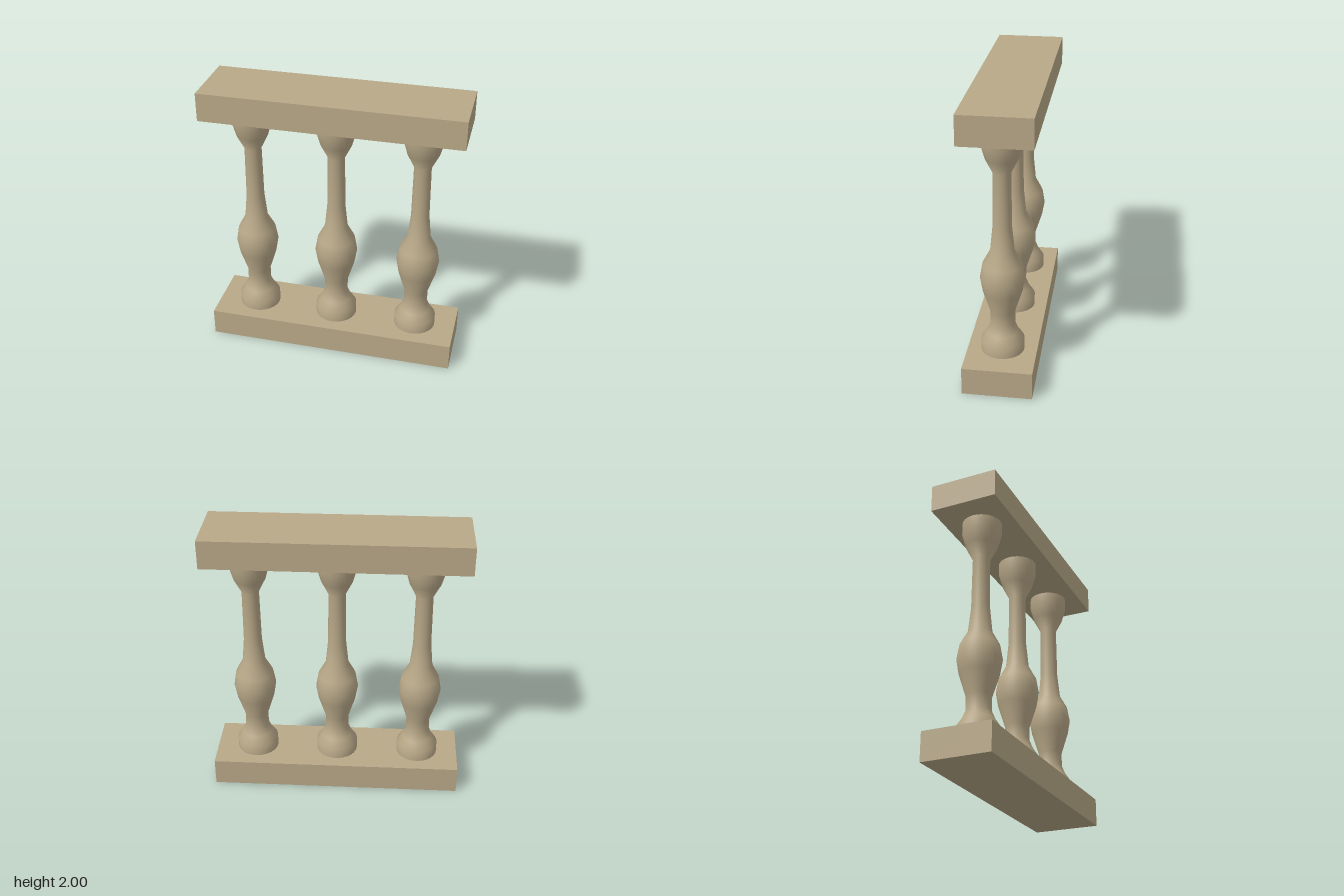
import * as THREE from 'three';

export function createModel() {
  const group = new THREE.Group();
  const stone = new THREE.MeshStandardMaterial({ color: 0xb8a888 });

  // Bottom plinth and top handrail
  const slab = new THREE.BoxGeometry(1.8, 0.2, 0.48);
  for (const [name, y] of [['plinth', 0.1], ['handrail', 1.9]]) {
    const mesh = new THREE.Mesh(slab, stone);
    mesh.name = name;
    mesh.position.y = y;
    group.add(mesh);
  }

  // Turned baluster profile: radius, height
  const profile = [
    [0.15, 0.2], [0.15, 0.28], [0.11, 0.34], [0.085, 0.4], // foot
    [0.085, 0.5], [0.135, 0.66], [0.152, 0.76], [0.135, 0.86], [0.082, 0.96], // belly
    [0.064, 1.14], [0.06, 1.52], // neck
    [0.11, 1.62], [0.138, 1.72], [0.138, 1.8], // capital
  ].map(([r, y]) => new THREE.Vector2(r, y));
  const turned = new THREE.LatheGeometry(profile, 32);

  // Three evenly spaced balusters
  ['balusterRight', 'balusterMiddle', 'balusterLeft'].forEach((name, i) => {
    const mesh = new THREE.Mesh(turned, stone);
    mesh.name = name;
    mesh.position.x = (i - 1) * 0.6;
    group.add(mesh);
  });

  return group;
}
